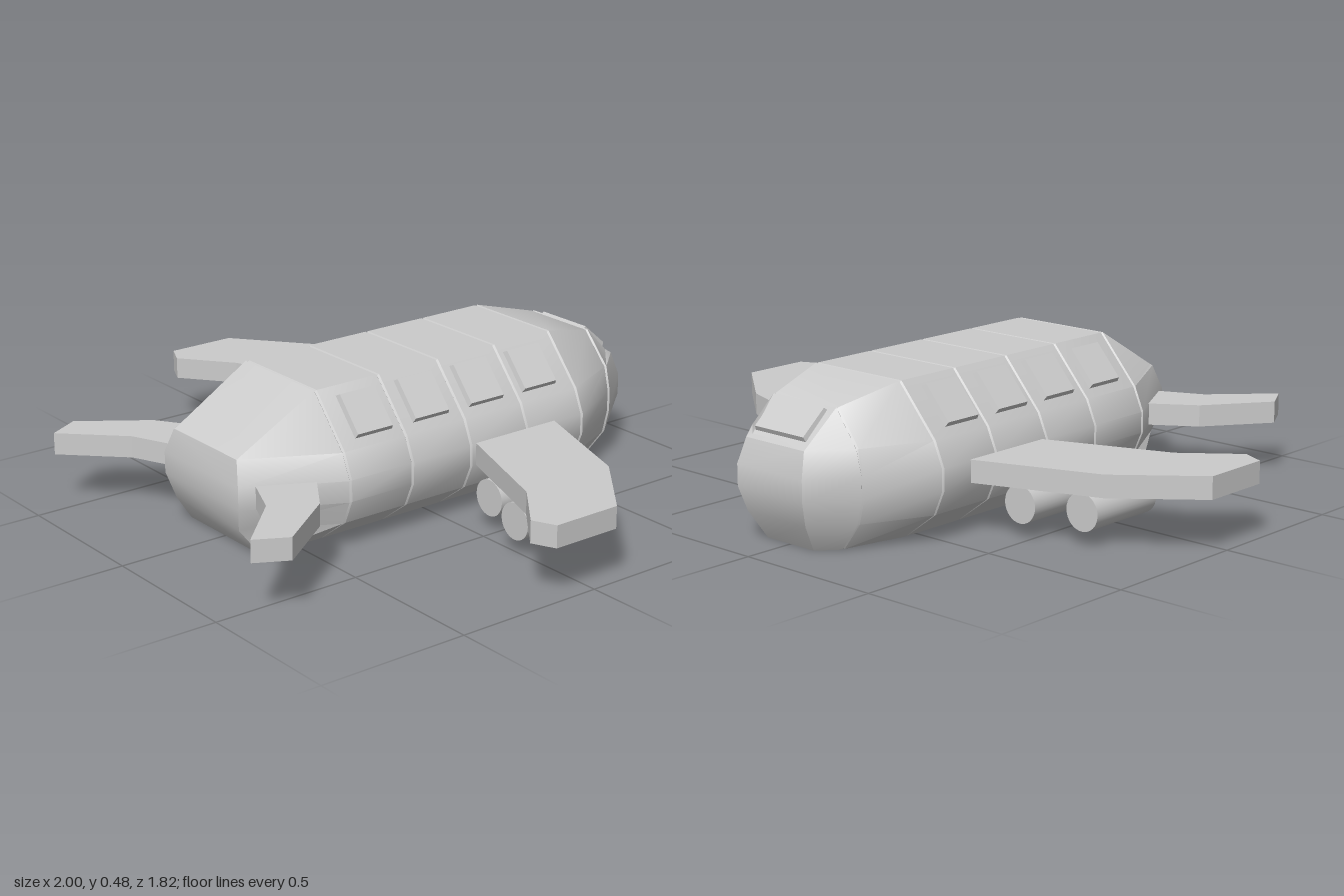
import * as THREE from 'three';
import { toCreasedNormals } from 'three/addons/utils/BufferGeometryUtils.js';

const material = new THREE.MeshStandardMaterial({ color: 0xcccccc });

function addMesh(parent, geometry, name) {
  const mesh = new THREE.Mesh(geometry, material);
  mesh.name = name;
  parent.add(mesh);
  return mesh;
}

// Right half of a section [x, y, z], listed from belly to roof; rings run from +z to -z
function loft(halfRings) {
  const rings = halfRings.map(half => [...half, ...half.map(([x, y, z]) => [-x, y, z]).reverse()]);
  const n = rings[0].length;
  const index = [];
  rings.forEach((ring, i) => {
    if (i === rings.length - 1) return;
    for (let j = 0; j < n; j++) {
      const k = (j + 1) % n;
      const a = i * n + j, b = i * n + k, c = a + n, d = b + n;
      index.push(a, c, d, a, d, b);
    }
  });
  // End caps as rows spanning left to right
  const last = (rings.length - 1) * n;
  for (let j = 0; j < n / 2 - 1; j++) {
    const a = j, b = j + 1, c = n - 2 - j, d = n - 1 - j;
    index.push(a, b, c, a, c, d);
    index.push(last + a, last + c, last + b, last + a, last + d, last + c);
  }
  const geometry = new THREE.BufferGeometry();
  geometry.setAttribute('position', new THREE.Float32BufferAttribute(rings.flat(2), 3));
  geometry.setIndex(index);
  return toCreasedNormals(geometry, 0.5);
}

// Narrow groove around the hull at one section
function groove(ring) {
  const shrink = ([x, y, z]) => [x * 0.98, 0.21 + (y - 0.21) * 0.98, z];
  const shift = (r, dz) => r.map(([x, y, z]) => [x, y, z + dz]);
  return [shift(ring, 0.005), ring.map(shrink), shift(ring, -0.005)];
}

// Flat plan outline [x, z] raised between two heights
function slab(points, y0, y1) {
  const shape = new THREE.Shape(points.map(([x, z]) => new THREE.Vector2(x, -z)));
  const geometry = new THREE.ExtrudeGeometry(shape, { depth: y1 - y0, bevelEnabled: false });
  return geometry.rotateX(-Math.PI / 2).translate(0, y0, 0);
}

// Thin pane with a chamfered outer face
function pane(width, height, length) {
  const geometry = new THREE.BoxGeometry(width, height, length).toNonIndexed();
  const p = geometry.attributes.position;
  for (let i = 0; i < p.count; i++) {
    if (p.getY(i) < 0) continue;
    p.setX(i, p.getX(i) - Math.sign(p.getX(i)) * 0.006);
    p.setZ(i, p.getZ(i) - Math.sign(p.getZ(i)) * 0.006);
  }
  geometry.computeVertexNormals();
  return geometry;
}

export function createModel() {
  const model = new THREE.Group();
  model.name = 'aircraft';

  // Hull: tail, five equal stations, cockpit and nose
  const section = [[0.2, 0], [0.32, 0.09], [0.355, 0.17], [0.355, 0.24], [0.32, 0.32], [0.18, 0.48]];
  const tail = [[0.19, 0, 0.625], [0.17, 0.09, 0.69], [0.2, 0.17, 0.71],
    [0.2, 0.24, 0.71], [0.17, 0.32, 0.692], [0.165, 0.325, 0.685]];
  const cockpit = [[0.155, 0, -0.76], [0.225, 0.09, -0.765], [0.245, 0.17, -0.765],
    [0.245, 0.24, -0.765], [0.225, 0.32, -0.765], [0.135, 0.43, -0.757]];
  const nose = [[0.1, 0, -0.83], [0.125, 0.09, -0.885], [0.14, 0.17, -0.91],
    [0.14, 0.24, -0.91], [0.125, 0.32, -0.885], [0.11, 0.33, -0.872]];
  const stations = [0.405, 0.165, -0.07, -0.305, -0.54].map(z => section.map(([x, y]) => [x, y, z]));
  addMesh(model, loft([tail, ...stations.flatMap(groove), ...groove(cockpit), nose]), 'hull');

  // Windscreen on the slanted cockpit front
  const windscreen = addMesh(model, pane(0.22, 0.022, 0.125), 'windscreen');
  windscreen.position.set(0, 0.383, -0.818);
  windscreen.rotation.x = -0.71;

  const wing = [[0.28, -0.446], [0.355, -0.42], [0.755, -0.28], [1, -0.08],
    [1, 0.155], [0.925, 0.19], [0.755, 0.055], [0.28, -0.117]];
  const fin = [[0.15, 0.4], [0.297, 0.49], [0.448, 0.59], [0.6, 0.8],
    [0.543, 0.905], [0.366, 0.725], [0.15, 0.63]];

  for (const side of [1, -1]) {
    const label = side > 0 ? 'left' : 'right';
    const mirror = points => points.map(([x, z]) => [x * side, z]);
    addMesh(model, slab(mirror(wing), 0.172, 0.244), label + 'Wing');
    addMesh(model, slab(mirror(fin), 0.172, 0.244), label + 'TailFin');

    // Two engines under each wing, the outer one set further back
    for (const [x, z, place] of [[0.47, -0.187, 'Inner'], [0.66, -0.125, 'Outer']]) {
      const engine = addMesh(model, new THREE.CylinderGeometry(0.06, 0.06, 0.28, 32), label + place + 'Engine');
      engine.rotation.x = Math.PI / 2;
      engine.position.set(x * side, 0.107, z);
    }

    // Row of windows on the slanted upper side
    for (let i = 0; i < 4; i++) {
      const win = addMesh(model, pane(0.15, 0.022, 0.145), label + 'Window' + (i + 1));
      win.position.set(0.254 * side, 0.404, -0.4 + i * 0.2245);
      win.rotation.z = -0.85 * side;
    }
  }
  return model;
}
